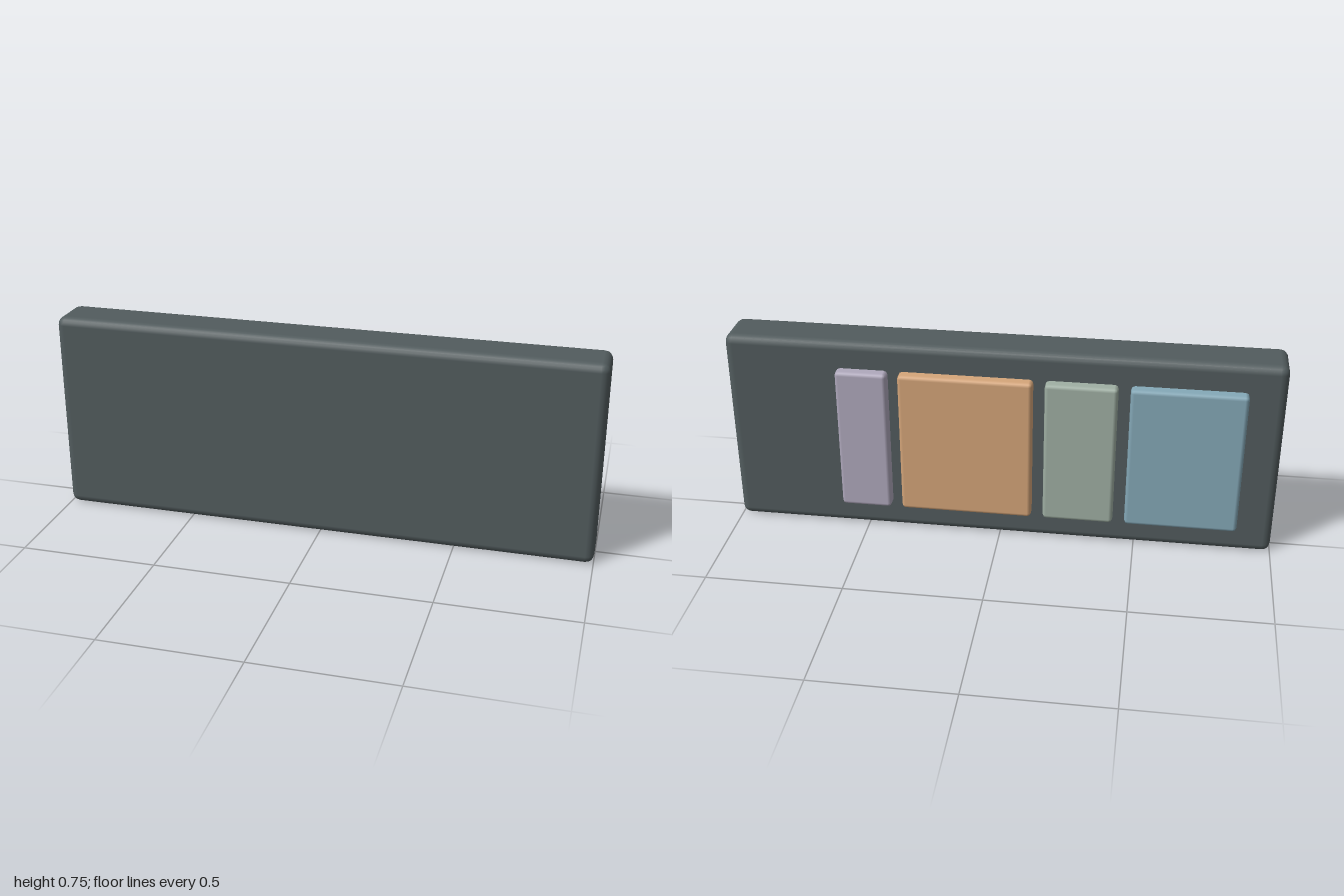
import * as THREE from 'three';
import { RoundedBoxGeometry } from 'three/addons/geometries/RoundedBoxGeometry.js';

const material = (name, color) => {
  const m = new THREE.MeshStandardMaterial({ color });
  m.name = name;
  return m;
};

// Rounded slab given by its min and max corners
function slab(name, min, max, radius, segments, mat) {
  const size = max.map((v, i) => v - min[i]);
  const mesh = new THREE.Mesh(new RoundedBoxGeometry(...size, segments, radius), mat);
  mesh.position.set(...max.map((v, i) => (v + min[i]) / 2));
  mesh.name = name;
  return mesh;
}

export function createModel() {
  const group = new THREE.Group();
  group.name = 'panelBoard';

  // Thick backing board
  group.add(slab('board', [-1, 0, -0.07], [1, 0.75, 0.11], 0.03, 2, material('slate', 0x525c5e)));

  // Raised tiles on the rear face: name, x from, x to, colour
  const tiles = [
    ['blueTile', -0.87, -0.463, 'dustyBlue', 0x85a9b8],
    ['greenTile', -0.42, -0.163, 'sageGreen', 0xa0b0a4],
    ['orangeTile', -0.12, 0.363, 'softOrange', 0xd6a67a],
    ['lavenderTile', 0.403, 0.59, 'lavender', 0xb0a9bd],
  ];
  for (const [name, x0, x1, colorName, color] of tiles) {
    group.add(slab(name, [x0, 0.102, -0.11], [x1, 0.65, -0.05], 0.014, 1, material(colorName, color)));
  }

  return group;
}
